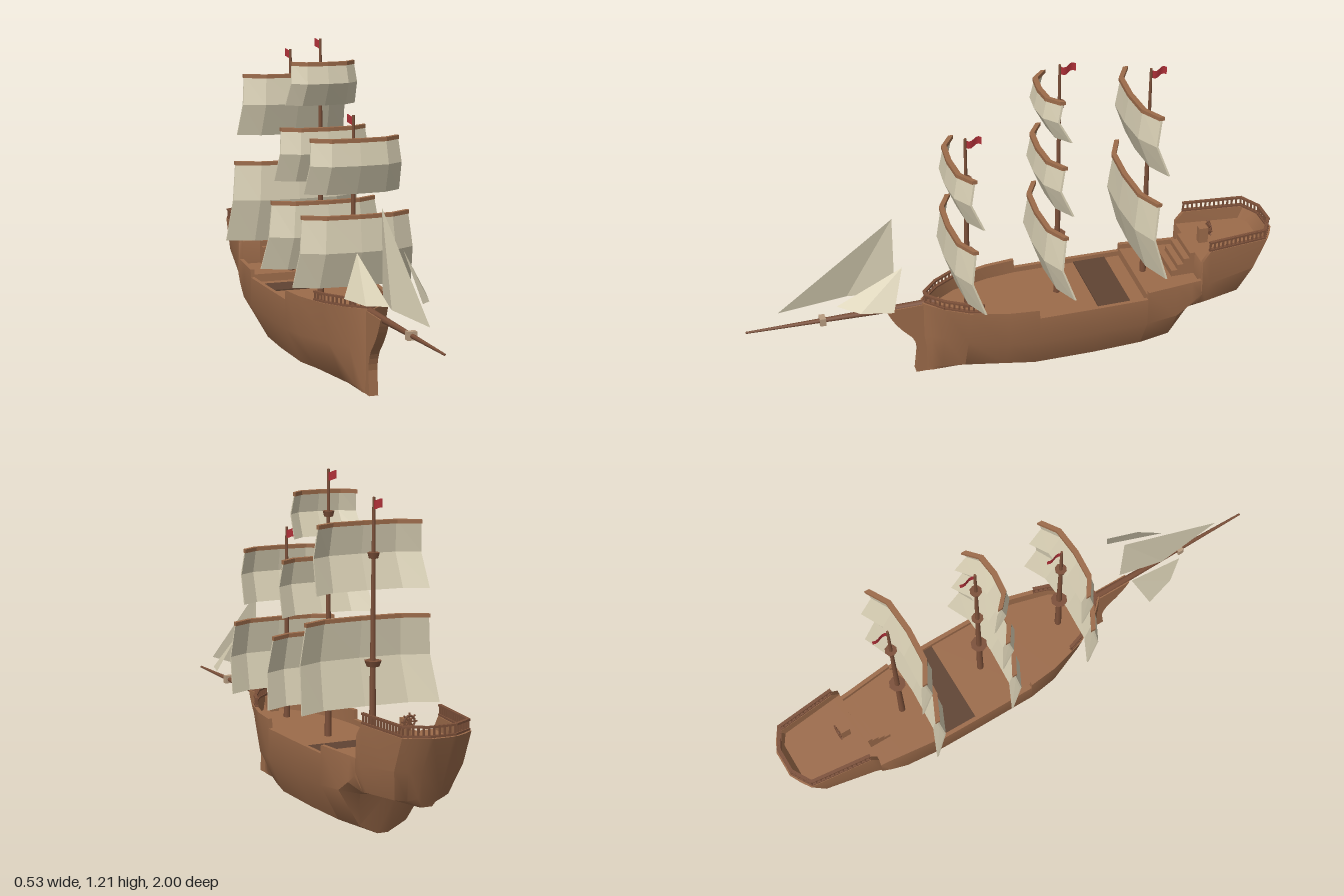
import * as THREE from 'three';
import { toCreasedNormals } from 'three/addons/utils/BufferGeometryUtils.js';

const mat = (color, extra = {}) => new THREE.MeshStandardMaterial({ color, ...extra });
const WOOD = mat(0x9c6b4a), DARK = mat(0x5f4332), MAST = mat(0x7c5039);
const CLOTH = mat(0xd6cdb2, { side: THREE.DoubleSide, flatShading: true });
const RED = mat(0xb03038, { side: THREE.DoubleSide });

function add(parent, name, geo, material, x = 0, y = 0, z = 0) {
  const m = new THREE.Mesh(geo, material);
  m.name = name;
  m.position.set(x, y, z);
  parent.add(m);
  return m;
}

// Skin over closed rings (counter-clockwise seen from +z, ordered by rising z), with end caps
function loft(rings, crease) {
  const out = [], n = rings[0].length, last = rings.length - 1;
  const tri = (...ps) => ps.forEach(p => out.push(...p));
  for (let s = 0; s < last; s++) {
    for (let i = 0; i < n; i++) {
      const j = (i + 1) % n, a = rings[s][i], b = rings[s][j], c = rings[s + 1][j], d = rings[s + 1][i];
      tri(a, b, c);
      tri(a, c, d);
    }
  }
  for (const [ring, flip] of [[rings[0], true], [rings[last], false]]) {
    const flat = ring.map(p => new THREE.Vector2(p[0], p[1]));
    for (const [a, b, c] of THREE.ShapeUtils.triangulateShape(flat, [])) {
      if (flip) tri(ring[a], ring[c], ring[b]);
      else tri(ring[a], ring[b], ring[c]);
    }
  }
  const g = new THREE.BufferGeometry();
  g.setAttribute('position', new THREE.Float32BufferAttribute(out, 3));
  return toCreasedNormals(g, crease);
}

// Hull section: outer skin, rim, inner bulwark and deck; rake leans the section with height
function section([z, rake, top, topY, wale, waleY, bilge, bilgeY, keelY, deckY]) {
  const inner = Math.max(top - 0.015, 0.006);
  const half = [[Math.min(0.02, bilge), keelY], [bilge, bilgeY], [wale, waleY], [top, topY], [inner, topY], [inner, deckY]];
  const right = half.map(([x, y]) => [x, y, z + rake * (y - 0.16)]);
  return [...right, ...right.map(([x, y, w]) => [-x, y, w]).reverse()];
}

function makeHull(ship) {
  const aft = [
    [-0.890, -0.42, 0.05, 0.42, 0.05, 0.30, 0.04, 0.20, 0.165, 0.419],
    [-0.872, -0.42, 0.085, 0.42, 0.085, 0.30, 0.065, 0.19, 0.162, 0.419],
    [-0.870, -0.42, 0.09, 0.42, 0.09, 0.30, 0.07, 0.19, 0.162, 0.37],
    [-0.845, -0.42, 0.128, 0.42, 0.128, 0.30, 0.10, 0.19, 0.16, 0.37],
    [-0.720, 0, 0.152, 0.42, 0.157, 0.28, 0.13, 0.185, 0.16, 0.37],
    [-0.690, 0, 0.155, 0.38, 0.16, 0.26, 0.13, 0.18, 0.16, 0.37],
    [-0.688, 0, 0.155, 0.30, 0.16, 0.24, 0.13, 0.18, 0.16, 0.28],
    [-0.650, 0, 0.158, 0.30, 0.165, 0.21, 0.12, 0.165, 0.15, 0.28],
    [-0.590, 0, 0.165, 0.30, 0.17, 0.17, 0.09, 0.035, 0.0, 0.28],
    [-0.472, 0, 0.178, 0.30, 0.178, 0.16, 0.11, 0.03, 0.0, 0.28],
    [-0.470, 0, 0.178, 0.27, 0.178, 0.16, 0.11, 0.03, 0.0, 0.25],
    [-0.280, 0, 0.18, 0.27, 0.18, 0.16, 0.12, 0.03, 0.0, 0.25],
  ];
  const fore = [
    aft[aft.length - 1],
    [-0.052, 0, 0.18, 0.27, 0.18, 0.16, 0.12, 0.03, 0.0, 0.25],
    [-0.050, 0, 0.18, 0.305, 0.18, 0.16, 0.12, 0.03, 0.0, 0.25],
    [0.06, 0, 0.168, 0.305, 0.163, 0.16, 0.095, 0.03, 0.0, 0.25],
    [0.20, 0, 0.13, 0.305, 0.105, 0.16, 0.05, 0.02, 0.0, 0.25],
    [0.28, 0, 0.08, 0.305, 0.055, 0.16, 0.03, 0.015, 0.0, 0.25],
    [0.32, 0, 0.045, 0.305, 0.03, 0.16, 0.02, 0.015, 0.0, 0.25],
    [0.35, 0, 0.015, 0.305, 0.015, 0.16, 0.015, 0.015, 0.0, 0.304],
  ];
  add(ship, 'hull', loft([...aft, ...fore.slice(1)].map(section), 0.7), WOOD);
  add(ship, 'midDeck', new THREE.BoxGeometry(0.328, 0.006, 0.125), DARK, 0, 0.252, -0.35);

  // Curved stem under the bowsprit
  const s = new THREE.Shape();
  s.moveTo(0.28, 0);
  s.lineTo(0.38, 0);
  s.lineTo(0.37, 0.09);
  s.quadraticCurveTo(0.375, 0.15, 0.41, 0.18);
  s.quadraticCurveTo(0.46, 0.23, 0.485, 0.295);
  s.lineTo(0.28, 0.30);
  const stem = new THREE.ExtrudeGeometry(s, { depth: 0.034, bevelEnabled: false, curveSegments: 5 });
  add(ship, 'stem', stem.translate(0, 0, -0.017).rotateY(-Math.PI / 2), WOOD);

  // Steps to the poop deck
  for (let i = 0; i < 4; i++) {
    const top = 0.305 + i * 0.022;
    add(ship, 'step', new THREE.BoxGeometry(0.14, top - 0.27, 0.024), WOOD, 0, (top + 0.27) / 2, -0.612 - i * 0.0235);
  }
}

// Two bars with posts between along a path of [x, z]
function makeRail(ship, name, path, y, height) {
  const rail = new THREE.Group();
  rail.name = name;
  for (let i = 0; i < path.length - 1; i++) {
    const [x0, z0] = path[i], [x1, z1] = path[i + 1];
    const len = Math.hypot(x1 - x0, z1 - z0), count = Math.max(2, Math.round(len / 0.018));
    for (const h of [0.15, 0.9]) {
      const bar = add(rail, 'railBar', new THREE.BoxGeometry(0.012, 0.007, len + 0.008), MAST,
        (x0 + x1) / 2, y + height * h, (z0 + z1) / 2);
      bar.rotation.y = Math.atan2(x1 - x0, z1 - z0);
    }
    for (let k = 0; k <= count; k++) {
      const t = k / count;
      add(rail, 'railPost', new THREE.BoxGeometry(0.006, height, 0.006), MAST,
        x0 + (x1 - x0) * t, y + height / 2, z0 + (z1 - z0) * t);
    }
  }
  ship.add(rail);
}

// Square sail bent forward across its middle and swept back at its ends, with its yard
function makeSail(ship, mastZ, [topY, midY, lowY, topW, lowW, depth]) {
  const rows = [[topY, topW, depth - 0.016], [midY, (topW + lowW) / 2, depth], [lowY, lowW, depth - 0.045]];
  const cols = [[-1, 0.05], [-0.62, 0.008], [0, 0], [0.62, 0.008], [1, 0.05]];
  const cloth = [], yard = [];
  for (const [f, sweep] of cols) {
    const front = rows.map(([y, w, d]) => [-(mastZ + d - sweep), y, f * w]);
    cloth.push([...front, ...front.map(([a, y, x]) => [a + 0.007, y, x]).reverse()]);
    const [a, y, x] = front[0];
    yard.push([[a - 0.006, y + 0.004], [a - 0.006, y - 0.01], [a + 0.013, y - 0.01], [a + 0.013, y + 0.004]]
      .map(p => [...p, x * 1.01]));
  }
  add(ship, 'squareSail', loft(cloth, 0.1).rotateY(Math.PI / 2), CLOTH);
  add(ship, 'yard', loft(yard, 0.1).rotateY(Math.PI / 2), WOOD);
}

function makeMast(ship, { z, foot, top, nests, sails }) {
  add(ship, 'mast', new THREE.CylinderGeometry(0.005, 0.013, top - foot, 8), MAST, 0, (top + foot) / 2, z);
  nests.forEach((y, i) => {
    const r = i ? 0.022 : 0.031;
    add(ship, 'crowsNest', new THREE.CylinderGeometry(r, r * 0.75, 0.02, 8), MAST, 0, y, z);
  });
  sails.forEach(s => makeSail(ship, z, s));
  // Waving flag
  const flag = new THREE.PlaneGeometry(0.06, 0.03, 6, 1).rotateY(Math.PI / 2);
  const p = flag.attributes.position;
  for (let i = 0; i < p.count; i++) {
    const t = 0.5 - p.getZ(i) / 0.06;
    p.setX(i, 0.006 * Math.sin(t * 6));
    p.setY(i, p.getY(i) - 0.005 * Math.sin(t * 6));
  }
  flag.computeVertexNormals();
  add(ship, 'flag', flag, RED, 0, top - 0.02, z - 0.03);
}

// Triangular sail with a belly point on its foot
function makeJib(ship, name, apex, tack, clew, belly) {
  const g = new THREE.BufferGeometry();
  g.setAttribute('position', new THREE.Float32BufferAttribute([...apex, ...tack, ...belly, ...apex, ...belly, ...clew], 3));
  g.computeVertexNormals();
  add(ship, name, g, CLOTH);
}

export function createModel() {
  const ship = new THREE.Group();
  ship.name = 'sailingShip';
  makeHull(ship);

  // Rails at bow and stern
  const mirror = half => [...half, ...half.map(([x, z]) => [-x, z]).reverse()];
  makeRail(ship, 'bowRail', mirror([[0.135, 0.15], [0.118, 0.2], [0.07, 0.28], [0.012, 0.335]]), 0.303, 0.037);
  makeRail(ship, 'sternRail', mirror([[0.145, -0.72], [0.121, -0.945], [0.048, -0.987]]), 0.418, 0.042);

  // Masts; each sail is [top, bend and foot heights, top and foot half widths, forward depth]
  makeMast(ship, { z: 0.175, foot: 0.24, top: 0.965, nests: [0.485, 0.795],
    sails: [[0.617, 0.49, 0.36, 0.2, 0.225, 0.088], [0.886, 0.795, 0.69, 0.163, 0.18, 0.08]] });
  makeMast(ship, { z: -0.17, foot: 0.24, top: 1.207, nests: [0.5, 0.78, 1.05],
    sails: [[0.617, 0.49, 0.365, 0.2, 0.235, 0.1], [0.886, 0.795, 0.69, 0.163, 0.18, 0.097],
      [1.124, 1.05, 0.967, 0.12, 0.135, 0.094]] });
  makeMast(ship, { z: -0.51, foot: 0.27, top: 1.142, nests: [0.575, 0.945],
    sails: [[0.72, 0.577, 0.415, 0.235, 0.265, 0.105], [1.05, 0.94, 0.82, 0.195, 0.215, 0.095]] });

  // Bowsprit and its collar
  const sprit = new THREE.CylinderGeometry(0.004, 0.016, 0.7, 8).rotateX(Math.PI / 2);
  add(ship, 'bowsprit', sprit, MAST, 0, 0.293, 0.65);
  add(ship, 'bowspritCollar', new THREE.BoxGeometry(0.034, 0.03, 0.022), mat(0xb89c80), 0, 0.293, 0.72);

  // Headsails
  makeJib(ship, 'mainJib', [0, 0.68, 0.45], [0, 0.355, 0.88], [0.005, 0.365, 0.45], [-0.03, 0.36, 0.62]);
  for (const s of [1, -1]) {
    makeJib(ship, 'sideJib', [s * 0.085, 0.525, 0.437], [s * 0.06, 0.385, 0.675], [s * 0.15, 0.38, 0.485], [s * 0.115, 0.375, 0.6]);
  }

  // Steering wheel on its stand
  const wheel = new THREE.Group();
  wheel.name = 'steeringWheel';
  wheel.position.set(0, 0.425, -0.77);
  add(wheel, 'wheelRim', new THREE.TorusGeometry(0.02, 0.004, 6, 16), MAST);
  for (let i = 0; i < 4; i++) {
    add(wheel, 'wheelSpoke', new THREE.BoxGeometry(0.06, 0.005, 0.005), MAST).rotation.z = i * Math.PI / 4;
  }
  add(wheel, 'wheelStand', new THREE.BoxGeometry(0.026, 0.065, 0.035), WOOD, 0, -0.025, 0.025);
  ship.add(wheel);
  return ship;
}
